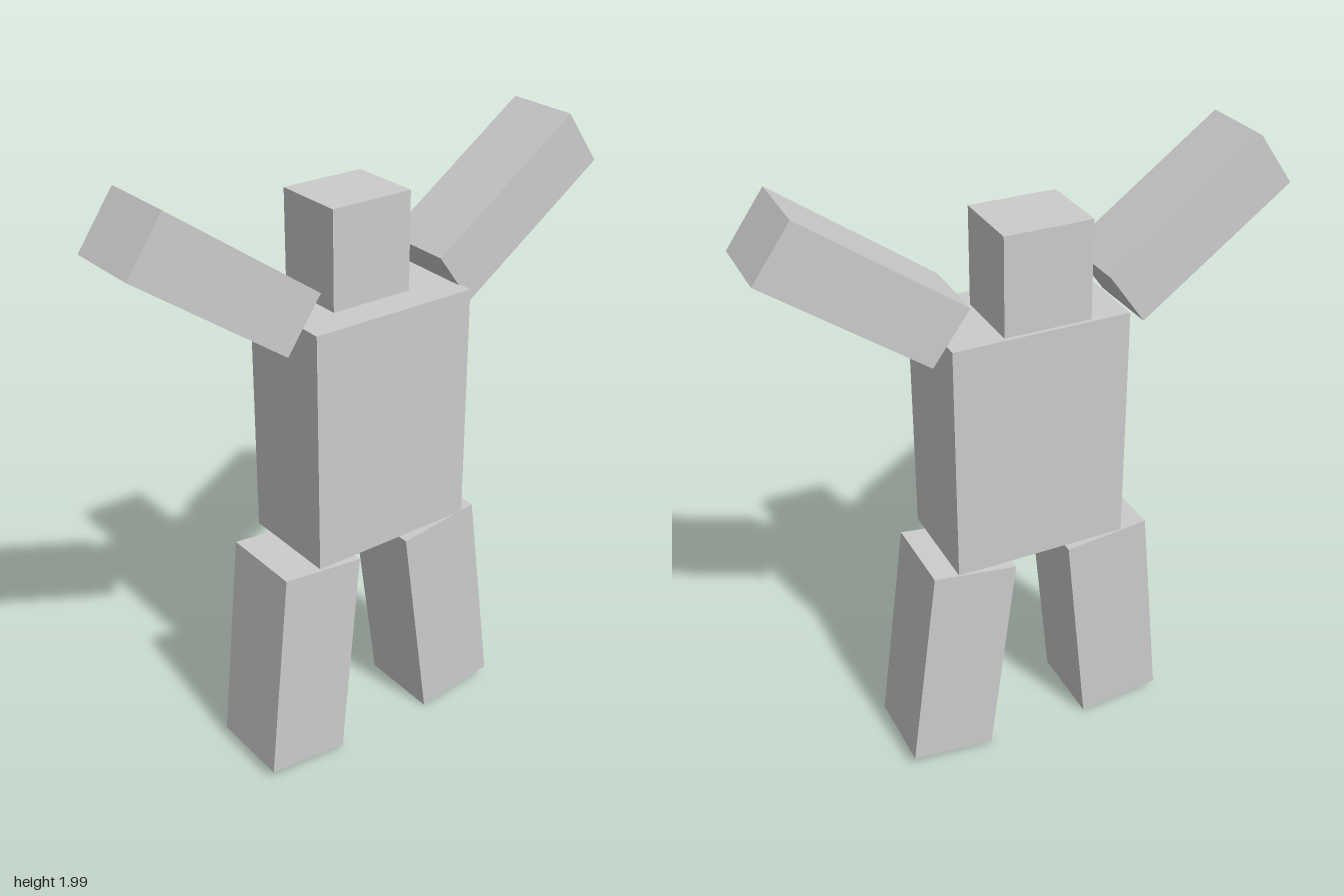
import * as THREE from 'three';

export function createModel() {
  const group = new THREE.Group();
  const material = new THREE.MeshStandardMaterial({ color: 0xcccccc, flatShading: true });

  // One block: size, centre, tilt about z and a slight yaw, both in degrees
  const block = (name, size, centre, tilt = 0, yaw = 0) => {
    const mesh = new THREE.Mesh(new THREE.BoxGeometry(...size), material);
    mesh.name = name;
    mesh.position.set(...centre);
    mesh.rotation.set(0, THREE.MathUtils.degToRad(yaw), THREE.MathUtils.degToRad(tilt));
    group.add(mesh);
  };

  block('torso', [0.565, 0.775, 0.335], [0.018, 1.156, 0]);
  block('head', [0.277, 0.31, 0.24], [0.001, 1.705, -0.045]);

  // Raised arms
  const arm = [0.6, 0.202, 0.248];
  block('leftArm', arm, [0.525, 1.739, 0.003], 35.7, -1);
  block('rightArm', arm, [-0.52, 1.738, 0.003], -35.5, 1);

  // Splayed legs
  const leg = [0.28, 0.718, 0.281];
  block('leftLeg', leg, [0.28, 0.38, 0], 7.7);
  block('rightLeg', leg, [-0.267, 0.38, 0], -5.7);

  return group;
}
